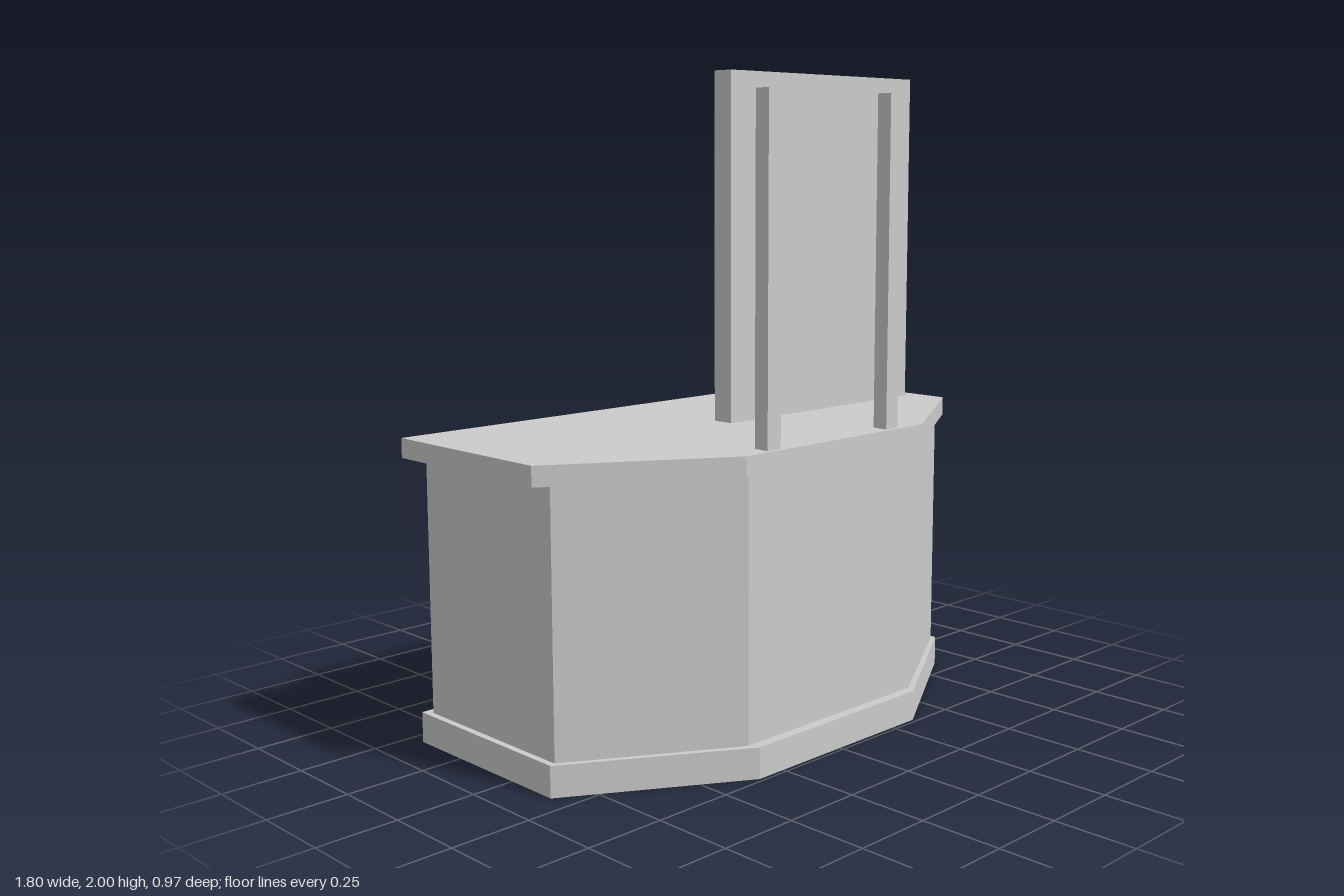
import * as THREE from 'three';

const mat = new THREE.MeshStandardMaterial({ color: 0xcccccc, flatShading: true });

const toShape = (pts) => new THREE.Shape(pts.map(([x, y]) => new THREE.Vector2(x, y)));
const rect = (x0, x1, y0, y1) => [[x0, y0], [x1, y0], [x1, y1], [x0, y1]];

export function createModel() {
  const model = new THREE.Group();

  const add = (name, geometry, parent = model) => {
    const mesh = new THREE.Mesh(geometry, mat);
    mesh.name = name;
    parent.add(mesh);
    return mesh;
  };
  const box = (name, x0, x1, y0, y1, z0, z1) => {
    const g = new THREE.BoxGeometry(x1 - x0, y1 - y0, z1 - z0);
    return add(name, g.translate((x0 + x1) / 2, (y0 + y1) / 2, (z0 + z1) / 2));
  };
  // Floor plan of [x, z] corners, raised from y0 to y1
  const slab = (name, plan, y0, y1) => {
    const g = new THREE.ExtrudeGeometry(toShape(plan), { depth: y1 - y0, bevelEnabled: false });
    return add(name, g.rotateX(Math.PI / 2).translate(0, y1, 0));
  };
  // Upright board of [x, y] corners with holes, from z0 to z1
  const board = (name, outline, holes, z0, z1) => {
    const shape = toShape(outline);
    holes.forEach((h) => shape.holes.push(toShape(h)));
    const g = new THREE.ExtrudeGeometry(shape, { depth: z1 - z0, bevelEnabled: false });
    return add(name, g.translate(0, 0, z0));
  };

  // Table top with two cut corners
  slab('tableTop', [[-0.9, -0.46], [0.9, -0.46], [0.9, 0.16], [0.39, 0.47], [-0.39, 0.47], [-0.9, 0.16]], 0.885, 0.945);

  // U-shaped plinth around the knee space
  slab('plinth', [
    [-0.865, -0.445], [-0.34, -0.445], [-0.34, 0.35], [0.34, 0.35], [0.34, -0.445], [0.865, -0.445],
    [0.865, 0.175], [0.35, 0.487], [-0.35, 0.487], [-0.865, 0.175],
  ], 0, 0.095);

  // Cabinet body behind the compartments
  const zBack = -0.03, knee = 0.364, kneeTop = 0.667;
  slab('upperBody', [[-0.845, zBack], [0.845, zBack], [0.845, 0.17], [knee, 0.455], [-knee, 0.455], [-0.845, 0.17]], kneeTop, 0.885);
  for (const s of [-1, 1]) {
    slab(s > 0 ? 'leftPedestal' : 'rightPedestal',
      [[s * knee, zBack], [s * 0.845, zBack], [s * 0.845, 0.17], [s * knee, 0.455]], 0.095, kneeTop);
  }
  box('kneePanel', -knee, knee, 0.095, kneeTop, 0.385, 0.455);

  // Compartment block and its face layer with shallow recessed fronts
  const arch = [
    [-0.845, 0.095], [-knee, 0.095], [-knee, kneeTop], [knee, kneeTop],
    [knee, 0.095], [0.845, 0.095], [0.845, 0.885], [-0.845, 0.885],
  ];
  const openings = [rect(-0.79, -0.403, 0.13, 0.665), rect(0.406, 0.797, 0.705, 0.855)];
  const recesses = [
    rect(-0.33, 0.33, 0.715, 0.815),
    rect(-0.775, -0.425, 0.73, 0.815),
    rect(0.456, 0.747, 0.23, 0.572),
  ];
  board('compartments', arch, openings, -0.4, zBack);
  board('cabinetFace', arch, [...openings, ...recesses], -0.415, -0.4);

  // Faceted knobs on the drawer and the door
  const profile = [[0, 0], [0.013, 0], [0.013, 0.03], [0.024, 0.033], [0.035, 0.047], [0.024, 0.065], [0, 0.072]]
    .map(([r, h]) => new THREE.Vector2(r, h));
  for (const [name, x, y, z] of [['drawerKnob', 0, 0.785, -0.4], ['doorKnob', 0.433, 0.5, -0.413]]) {
    const g = new THREE.LatheGeometry(profile, 8).rotateX(-Math.PI / 2);
    add(name, g).position.set(x, y, z);
  }

  // Mirror: back, framed border, and a glass sheet with a broken piece missing
  const outer = rect(-0.385, 0.385, 1.03, 2);
  const inner = rect(-0.35, 0.35, 1.068, 1.962);
  const hole = [
    [0.2, 1.79], [0.1, 1.71], [-0.08, 1.79], [-0.225, 1.695], [-0.225, 1.6], [-0.13, 1.43],
    [-0.225, 1.25], [-0.06, 1.265], [0.06, 1.355], [0.2, 1.245], [0.2, 1.41], [0.15, 1.61],
  ];
  board('mirrorBack', outer, [], 0.38, 0.405);
  board('mirrorFrame', outer, [inner], 0.34, 0.38);
  board('mirrorGlass', inner, [hole], 0.37, 0.38);

  // Mirror posts
  for (const s of [-1, 1]) {
    const x = s * 0.262;
    box(s > 0 ? 'leftPost' : 'rightPost', x - 0.027, x + 0.027, 0.945, 1.955, 0.405, 0.455);
  }
  return model;
}
